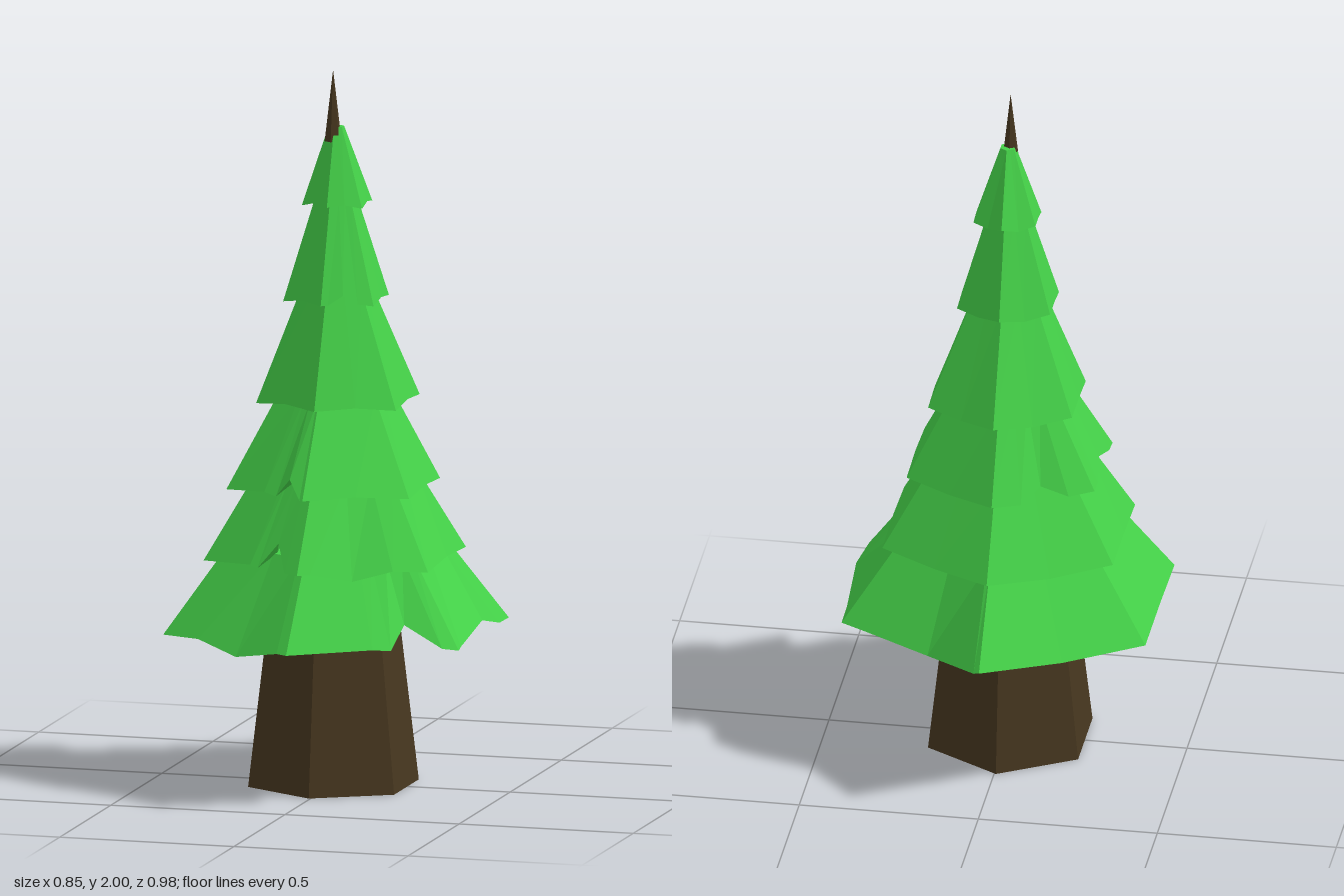
import * as THREE from 'three';

const green = new THREE.MeshStandardMaterial({ color: 0x44d048, flatShading: true, side: THREE.DoubleSide });
const brown = new THREE.MeshStandardMaterial({ color: 0x47371f, flatShading: true });

// Point on a hexagon (corners at +z and -z) in the direction of an angle in degrees, 0 = front
function hexPoint(degrees, r, y, z) {
  const local = (((degrees % 60) + 60) % 60) - 30;
  const d = (r * Math.cos(Math.PI / 6)) / Math.cos(THREE.MathUtils.degToRad(local));
  const a = THREE.MathUtils.degToRad(degrees);
  return [Math.sin(a) * d, y, z + Math.cos(a) * d];
}

// Rim stations: hexagon corners and edge middles, with each dent replacing those it covers
function rimStations(dents) {
  const stations = [];
  for (let angle = 0; angle < 360; angle += 30) {
    const covered = dents.some((d) => Math.abs(d.angle - angle) < d.width);
    if (!covered) stations.push({ angle, scale: 1, rise: 0.007 * Math.sin(angle * 0.08) });
  }
  dents.forEach(({ angle, width, scale, rise }) => {
    stations.push({ angle: angle - width, scale: 1, rise: 0 });
    stations.push({ angle, scale, rise });
    stations.push({ angle: angle + width, scale: 1, rise: 0 });
  });
  return stations.sort((p, q) => p.angle - q.angle);
}

// Branch skirt: sloping sides, an underside running inwards, and a closed top
function makeTier({ r, y, z, topR, topY, innerR, lift, dents = [] }) {
  const positions = [];
  const axisZ = z * 0.3;
  const rows = rimStations(dents).map(({ angle, scale, rise }) => ({
    outer: hexPoint(angle, r * scale, y + rise, z),
    top: hexPoint(angle, topR, topY, axisZ),
    inner: hexPoint(angle, innerR, y + rise + lift, axisZ),
  }));
  rows.forEach((p, i) => {
    const q = rows[(i + 1) % rows.length];
    positions.push(...p.outer, ...q.outer, ...q.top, ...p.outer, ...q.top, ...p.top);
    positions.push(...p.inner, ...q.inner, ...q.outer, ...p.inner, ...q.outer, ...p.outer);
    positions.push(...p.top, ...q.top, 0, topY, axisZ);
  });
  const geometry = new THREE.BufferGeometry();
  geometry.setAttribute('position', new THREE.Float32BufferAttribute(positions, 3));
  geometry.computeVertexNormals();
  return new THREE.Mesh(geometry, green);
}

export function createModel() {
  const tree = new THREE.Group();
  tree.name = 'pineTree';

  // Tapered six-sided trunk
  const trunk = new THREE.Mesh(new THREE.CylinderGeometry(0.17, 0.242, 0.6, 6), brown);
  trunk.name = 'trunk';
  trunk.position.set(-0.005, 0.3, 0.008);
  tree.add(trunk);

  // Bare tip above the branches
  const tip = new THREE.Mesh(new THREE.ConeGeometry(0.024, 0.2, 6), brown);
  tip.name = 'trunkTip';
  tip.position.set(-0.006, 1.9, 0.008);
  tree.add(tip);

  // Branch tiers from the lowest up; dents are notches and sags in the rim
  const tiers = [
    {
      r: 0.49, y: 0.443, z: 0, topR: 0.305, topY: 0.68, innerR: 0.17, lift: 0.08,
      dents: [
        { angle: 46, width: 9, scale: 0.86, rise: 0.06 },
        { angle: 86, width: 24, scale: 1.01, rise: 0.04 },
        { angle: 154, width: 24, scale: 0.9, rise: -0.03 },
        { angle: 336, width: 20, scale: 1, rise: -0.03 },
      ],
    },
    {
      r: 0.372, y: 0.648, z: 0.012, topR: 0.225, topY: 0.88, innerR: 0.28, lift: 0.03,
      dents: [
        { angle: 25, width: 20, scale: 0.98, rise: -0.025 },
        { angle: 344, width: 9, scale: 0.87, rise: 0.07 },
      ],
    },
    {
      r: 0.303, y: 0.847, z: 0.027, topR: 0.16, topY: 1.1, innerR: 0.2, lift: 0.03,
      dents: [
        { angle: 211, width: 15, scale: 0.88, rise: 0.03 },
        { angle: 270, width: 20, scale: 0.95, rise: 0.03 },
        { angle: 349, width: 9, scale: 0.94, rise: 0.05 },
      ],
    },
    { r: 0.232, y: 1.077, z: -0.018, topR: 0.1, topY: 1.39, innerR: 0.14, lift: 0.03 },
    {
      r: 0.15, y: 1.362, z: 0, topR: 0.06, topY: 1.64, innerR: 0.085, lift: 0.025,
      dents: [{ angle: 25, width: 18, scale: 0.97, rise: 0.025 }],
    },
    { r: 0.1, y: 1.627, z: -0.01, topR: 0.022, topY: 1.84, innerR: 0.05, lift: 0.015 },
  ];
  tiers.forEach((tier, i) => {
    const mesh = makeTier(tier);
    mesh.name = `branchTier${i + 1}`;
    tree.add(mesh);
  });

  return tree;
}
